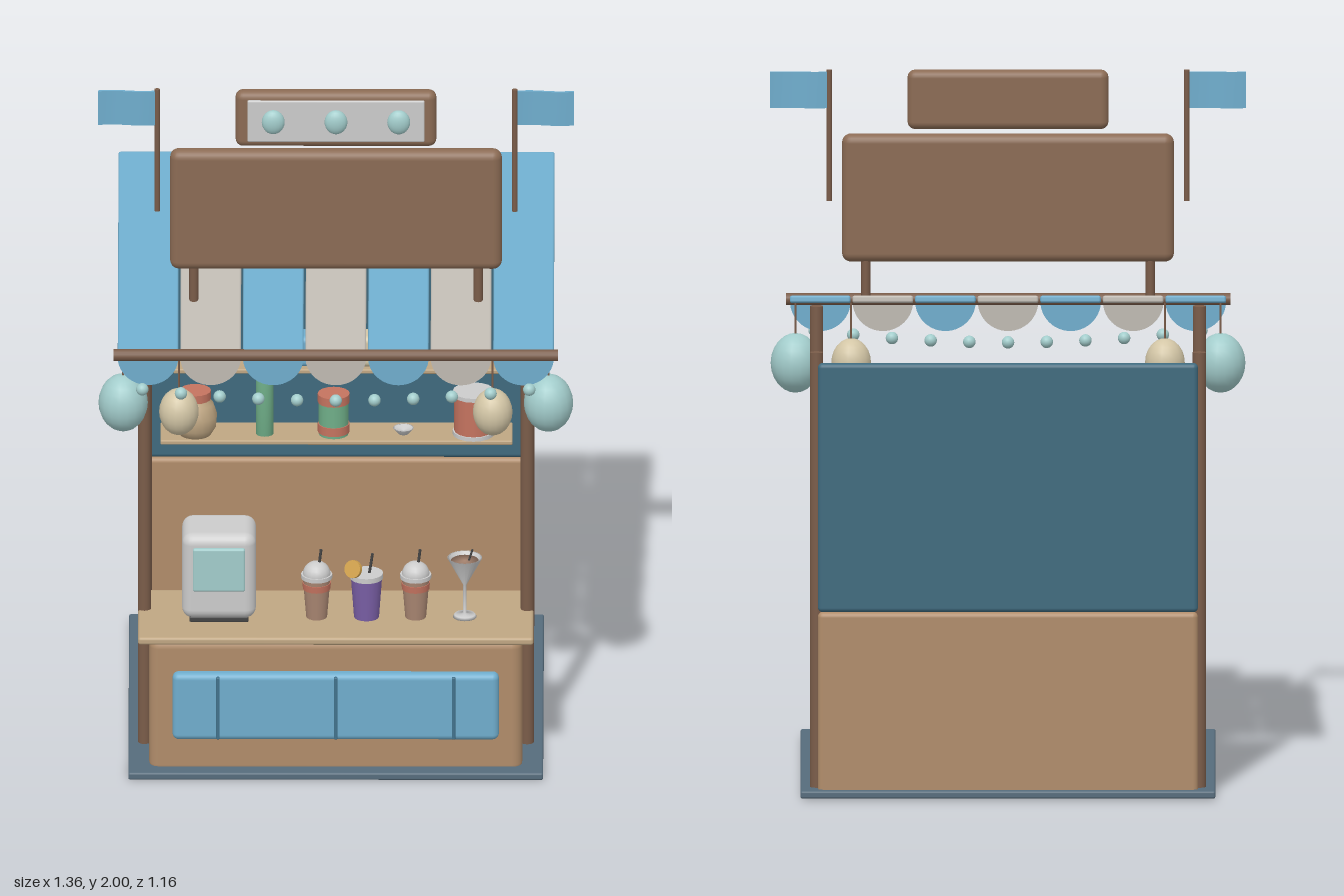
import * as THREE from 'three';
import { RoundedBoxGeometry } from 'three/addons/geometries/RoundedBoxGeometry.js';

const C = {
  blue: 0x6fadcd, seam: 0x41728c, stripe: 0xbfbab2, wall: 0x3f6a7e, floor: 0x566c7c,
  post: 0x7a5c49, sign: 0x8b6b54, wood: 0xb08c6a, top: 0xbfa682, grey: 0xbdbdbd,
  aqua: 0xa2cccb, cream: 0xd3c6a6, green: 0x6fae88, red: 0xc4735f, cocoa: 0xa98672,
  purple: 0x7a5fa6, dark: 0x444444, gold: 0xd2a24c,
};

export function createModel() {
  const root = new THREE.Group();
  const mats = {};
  const mat = (c) => (mats[c] ??= new THREE.MeshStandardMaterial({ color: C[c], side: THREE.DoubleSide }));

  function add(name, geo, color, x, y, z, parent = root) {
    const m = new THREE.Mesh(geo, mat(color));
    m.name = name;
    m.position.set(x, y, z);
    parent.add(m);
    return m;
  }
  // soft-edged box from min/max limits
  function box(name, color, [x0, x1], [y0, y1], [z0, z1], r = 0.01, parent = root) {
    const w = x1 - x0, h = y1 - y0, d = z1 - z0;
    const geo = new RoundedBoxGeometry(w, h, d, 3, Math.min(r, w / 2.02, h / 2.02, d / 2.02));
    return add(name, geo, color, (x0 + x1) / 2, (y0 + y1) / 2, (z0 + z1) / 2, parent);
  }
  // upright cylinder or cone from y0 to y1
  function rod(name, color, x, z, y0, y1, r, rTop = r, parent = root, seg = 16) {
    return add(name, new THREE.CylinderGeometry(rTop, r, y1 - y0, seg), color, x, (y0 + y1) / 2, z, parent);
  }
  function ball(name, color, x, y, z, rx, ry = rx, rz = rx, parent = root) {
    const m = add(name, new THREE.SphereGeometry(1, 18, 12), color, x, y, z, parent);
    m.scale.set(rx, ry, rz);
    return m;
  }
  function lathe(name, color, x, y, z, pts, parent = root) {
    const geo = new THREE.LatheGeometry(pts.map((p) => new THREE.Vector2(...p)), 18);
    return add(name, geo, color, x, y, z, parent);
  }

  // floor and back wall
  box('floor', 'floor', [-0.595, 0.595], [0.004, 0.026], [-0.565, 0.58], 0.006);
  box('backWallLower', 'wood', [-0.545, 0.545], [0.001, 0.54], [-0.537, -0.5], 0.015);
  box('backWallUpper', 'wall', [-0.545, 0.545], [0.54, 1.262], [-0.535, -0.502], 0.013);

  // corner posts
  for (const s of [-1, 1]) {
    rod('frontPost', 'post', s * 0.549, 0.352, 0, 1.29, 0.019);
    rod('backPost', 'post', s * 0.549, -0.482, 0, 1.288, 0.019);
  }

  // counter with front panels
  box('counterBody', 'wood', [-0.535, 0.535], [0.001, 0.422], [0.255, 0.532], 0.03);
  box('counterTop', 'top', [-0.567, 0.567], [0.42, 0.443], [0.217, 0.567], 0.008);
  box('counterPanel', 'blue', [-0.468, 0.468], [0.118, 0.325], [0.515, 0.56], 0.018);
  for (const x of [-0.338, 0, 0.338]) {
    box('panelSeam', 'seam', [x - 0.005, x + 0.005], [0.125, 0.318], [0.53, 0.566], 0.003);
  }

  // sloping awning: seven stripes, each ending in a scallop
  const awning = new THREE.Group();
  awning.name = 'awning';
  root.add(awning);
  const scallop = new THREE.Shape();
  scallop.absellipse(0, 0, 0.087, 0.087, Math.PI, 2 * Math.PI, false);
  scallop.closePath();
  const scallopGeo = new THREE.ExtrudeGeometry(scallop, { depth: 0.01, bevelEnabled: false, curveSegments: 14 });
  const slope = Math.atan2(0.17, 1.06);
  for (let i = 0; i < 7; i++) {
    const x = (i - 3) * 0.1795, color = i % 2 ? 'stripe' : 'blue';
    const s = add('awningStripe', new RoundedBoxGeometry(0.174, 0.02, 1.07, 2, 0.006), color, x, 1.373, -0.052, awning);
    s.rotation.x = slope;
    add('awningScallop', scallopGeo, color, x, 1.285, 0.472, awning);
  }
  const beam = add('awningBeam', new THREE.CylinderGeometry(0.017, 0.017, 1.275, 14), 'post', 0, 1.29, 0.477);
  beam.rotation.z = Math.PI / 2;

  // string of small lights
  for (let i = -5; i <= 5; i++) {
    ball('stringLight', 'aqua', i * 0.111, 1.16 + 0.035 * (i / 5) ** 2, 0.505, 0.018);
  }

  // hanging lanterns
  for (const s of [-1, 1]) {
    ball('outerLantern', 'aqua', s * 0.61, 1.115, 0.415, 0.071, 0.086);
    rod('lanternCord', 'post', s * 0.61, 0.415, 1.19, 1.295, 0.003);
    ball('innerLantern', 'cream', s * 0.45, 1.108, 0.465, 0.057, 0.07);
    rod('lanternCord', 'post', s * 0.45, 0.465, 1.17, 1.285, 0.003);
  }

  // roof signs
  box('signBoard', 'sign', [-0.476, 0.476], [1.443, 1.815], [0.174, 0.228], 0.026);
  for (const s of [-1, 1]) rod('signPost', 'post', s * 0.408, 0.2, 1.325, 1.47, 0.013);
  box('topSignBoard', 'sign', [-0.288, 0.288], [1.828, 2], [0.178, 0.226], 0.022);
  box('topSignPanel', 'grey', [-0.254, 0.254], [1.85, 1.978], [0.2, 0.234], 0.004);
  for (const x of [-0.18, 0, 0.18]) ball('signBulb', 'aqua', x, 1.914, 0.236, 0.033, 0.037, 0.02);

  // side flags with a slight wave
  for (const s of [-1, 1]) {
    rod('flagPole', 'post', s * 0.513, 0.198, 1.62, 2, 0.008, 0.008, root, 10);
    const geo = new THREE.BoxGeometry(0.168, 0.105, 0.008, 10, 1, 1);
    const p = geo.attributes.position;
    for (let i = 0; i < p.count; i++) p.setZ(i, p.getZ(i) + 0.004 * Math.sin(p.getX(i) * 36));
    geo.computeVertexNormals();
    add('flag', geo, 'blue', s * 0.598, 1.942, 0.198);
  }

  // shelves on the back wall
  box('upperShelf', 'top', [-0.468, 0.468], [0.854, 0.868], [-0.505, -0.385], 0.004);
  box('lowerShelf', 'top', [-0.505, 0.505], [0.638, 0.652], [-0.505, -0.37], 0.004);
  [-0.343, -0.115, 0.112, 0.337].forEach((x, i) => {
    box('shelfBox', i % 2 ? 'blue' : 'cream', [x - 0.062, x + 0.062], [0.868, 0.963], [-0.472, -0.395], 0.018);
  });

  // goods on the lower shelf
  const zs = -0.423;
  lathe('jar', 'top', -0.405, 0.652, zs, [[0, 0], [0.045, 0], [0.06, 0.025], [0.063, 0.06], [0.052, 0.095], [0.04, 0.105], [0.04, 0.115]]);
  rod('jarLid', 'red', -0.405, zs, 0.762, 0.787, 0.045);
  lathe('bottle', 'green', -0.206, 0.652, zs, [[0, 0], [0.025, 0], [0.025, 0.17], [0.02, 0.19], [0.01, 0.205], [0.01, 0.235], [0, 0.235]]);
  rod('bottleCap', 'cream', -0.206, zs, 0.885, 0.912, 0.012);
  rod('smallTin', 'green', -0.008, zs, 0.652, 0.765, 0.043);
  for (const y of [0.66, 0.752]) rod('tinBand', 'red', -0.008, zs, y, y + 0.026, 0.046);
  lathe('dish', 'grey', 0.192, 0.652, zs, [[0, 0], [0.014, 0], [0.03, 0.018], [0.026, 0.018], [0, 0.008]]);
  rod('largeTin', 'red', 0.393, zs, 0.652, 0.776, 0.056);
  for (const y of [0.652, 0.774]) rod('tinRim', 'grey', 0.393, zs, y, y + 0.012, 0.06);

  // drinks machine
  box('machine', 'grey', [-0.441, -0.229], [0.45, 0.715], [0.282, 0.46], 0.032);
  box('machineScreen', 'aqua', [-0.41, -0.26], [0.545, 0.678], [0.44, 0.47], 0.006);
  box('machineFoot', 'dark', [-0.42, -0.25], [0.441, 0.458], [0.3, 0.45], 0.004);

  // drinks on the counter
  const zd = 0.41;
  for (const x of [-0.055, 0.229]) {
    const cup = new THREE.Group();
    cup.name = 'shakeCup';
    cup.position.set(x, 0.443, zd);
    root.add(cup);
    rod('cup', 'cocoa', 0, 0, 0, 0.125, 0.03, 0.04, cup);
    rod('cupBand', 'red', 0, 0, 0.088, 0.108, 0.0395, 0.041, cup);
    rod('lidRim', 'grey', 0, 0, 0.122, 0.134, 0.045, 0.045, cup);
    const dome = add('domeLid', new THREE.SphereGeometry(0.04, 16, 6, 0, Math.PI * 2, 0, Math.PI / 2), 'grey', 0, 0.134, 0, cup);
    dome.scale.y = 0.95;
    const straw = rod('straw', 'dark', 0.008, 0, 0.13, 0.21, 0.004, 0.004, cup, 8);
    straw.rotation.z = -0.12;
  }
  rod('berryCup', 'purple', 0.088, zd, 0.443, 0.57, 0.036, 0.045);
  rod('berryCupRim', 'grey', 0.088, zd, 0.565, 0.58, 0.048);
  rod('berryStraw', 'dark', 0.1, zd, 0.57, 0.64, 0.004, 0.004, root, 8).rotation.z = -0.15;
  const slice = rod('fruitSlice', 'gold', 0.05, zd + 0.03, 0.598, 0.61, 0.026);
  slice.rotation.set(Math.PI / 2 - 0.4, 0, 0.5);

  // stemmed glass
  lathe('stemGlass', 'grey', 0.37, 0.443, zd, [[0, 0], [0.034, 0], [0.03, 0.008], [0.005, 0.013], [0.005, 0.1], [0.05, 0.185], [0.046, 0.185], [0, 0.11]]);
  lathe('glassDrink', 'cocoa', 0.37, 0.443, zd, [[0, 0.112], [0.04, 0.176], [0, 0.176]]);
  rod('stirrer', 'dark', 0.378, zd, 0.56, 0.655, 0.003, 0.003, root, 8).rotation.z = -0.3;

  return root;
}
